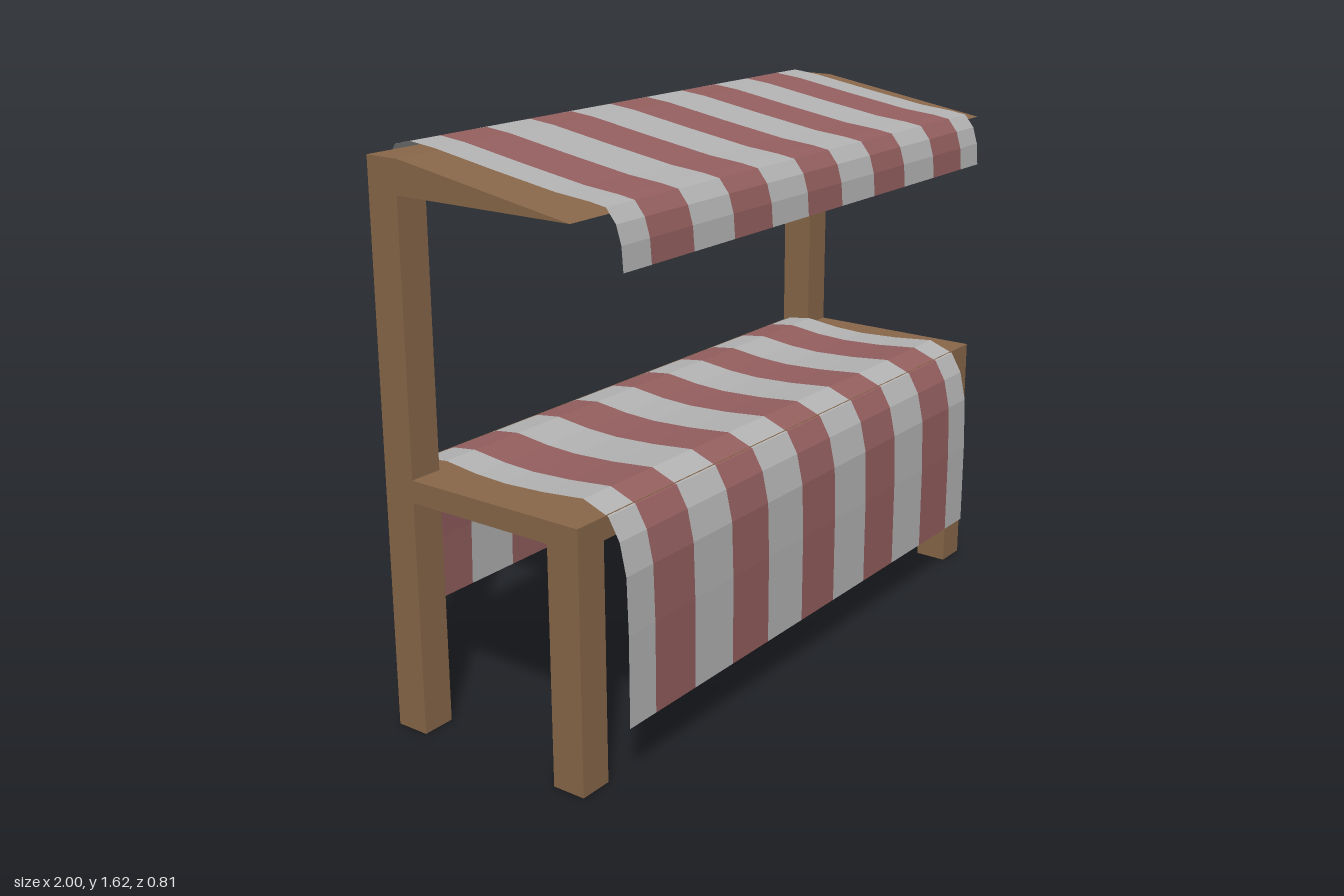
import * as THREE from 'three';

const wood = new THREE.MeshStandardMaterial({ color: 0x8a684a });
wood.name = 'brown wood';
const pale = new THREE.MeshStandardMaterial({ color: 0xb4b4b4, side: THREE.DoubleSide, flatShading: true });
pale.name = 'pale cloth';
const red = new THREE.MeshStandardMaterial({ color: 0x955f5f, side: THREE.DoubleSide, flatShading: true });
red.name = 'dull red cloth';

// Box given by its limits on each axis
function box(name, x0, x1, y0, y1, z0, z1) {
  const mesh = new THREE.Mesh(new THREE.BoxGeometry(x1 - x0, y1 - y0, z1 - z0), wood);
  mesh.position.set((x0 + x1) / 2, (y0 + y1) / 2, (z0 + z1) / 2);
  mesh.name = name;
  return mesh;
}

// One strip of cloth: a [z, y] profile, front hem to back hem, swept along x
function strip(profile, x0, x1, material) {
  const geometry = new THREE.PlaneGeometry(1, 1, 1, profile.length - 1);
  const p = geometry.attributes.position;
  for (let i = 0; i < p.count; i++) {
    // rows run from the back hem so the outer side faces out
    const [z, y] = profile[profile.length - 1 - Math.floor(i / 2)];
    p.setXYZ(i, i % 2 ? x1 : x0, y, z);
  }
  geometry.computeVertexNormals();
  return new THREE.Mesh(geometry, material);
}

// Striped cloth: pale at both ends, five red stripes
function stripedCloth(name, profile) {
  const group = new THREE.Group();
  group.name = name;
  const edges = [-0.887];
  for (let i = -2; i <= 2; i++) edges.push(i * 0.346 - 0.086, i * 0.346 + 0.086);
  edges.push(0.887);
  for (let i = 0; i < edges.length - 1; i++) {
    const mesh = strip(profile, edges[i], edges[i + 1], i % 2 ? red : pale);
    mesh.name = i % 2 ? 'redStripe' : 'paleStripe';
    group.add(mesh);
  }
  return group;
}

export function createModel() {
  const stall = new THREE.Group();
  stall.name = 'marketStall';

  // Legs and tall rear posts
  for (const s of [-1, 1]) {
    const x0 = s > 0 ? 0.9 : -1;
    const side = s > 0 ? 'left' : 'right';
    stall.add(box(side + 'FrontLeg', x0, x0 + 0.1, 0, 0.69, 0.24, 0.34));
    stall.add(box(side + 'RearPost', x0, x0 + 0.1, 0, 1.51, -0.325, -0.225));
  }

  // Counter board
  stall.add(box('counter', -1, 1, 0.68, 0.743, -0.325, 0.34));

  // Wedge-shaped roof, profile drawn with -z as the shape's x
  const wedge = new THREE.Shape([[-0.34, 1.5], [0.325, 1.5], [0.325, 1.593], [0.22, 1.593]]
    .map(([x, y]) => new THREE.Vector2(x, y)));
  const roof = new THREE.Mesh(
    new THREE.ExtrudeGeometry(wedge, { depth: 2, bevelEnabled: false }), wood);
  roof.rotation.y = Math.PI / 2;
  roof.position.x = -1;
  roof.name = 'roof';
  stall.add(roof);

  // Cloth over the counter
  stall.add(stripedCloth('counterCloth', [
    [0.405, 0.17], [0.405, 0.43], [0.4, 0.59], [0.38, 0.68], [0.345, 0.74], [0.265, 0.77],
    [0.13, 0.757], [0, 0.751], [-0.1, 0.755], [-0.21, 0.768], [-0.29, 0.758],
    [-0.34, 0.735], [-0.375, 0.67], [-0.397, 0.58], [-0.405, 0.45], [-0.41, 0.26],
  ]));

  // Cloth over the roof
  stall.add(stripedCloth('awningCloth', [
    [0.405, 1.37], [0.4, 1.435], [0.385, 1.485], [0.355, 1.522], [0.305, 1.53], [0.2, 1.54],
    [0, 1.572], [-0.2, 1.606], [-0.285, 1.615], [-0.34, 1.603], [-0.375, 1.55],
    [-0.395, 1.49], [-0.41, 1.42],
  ]));

  return stall;
}
